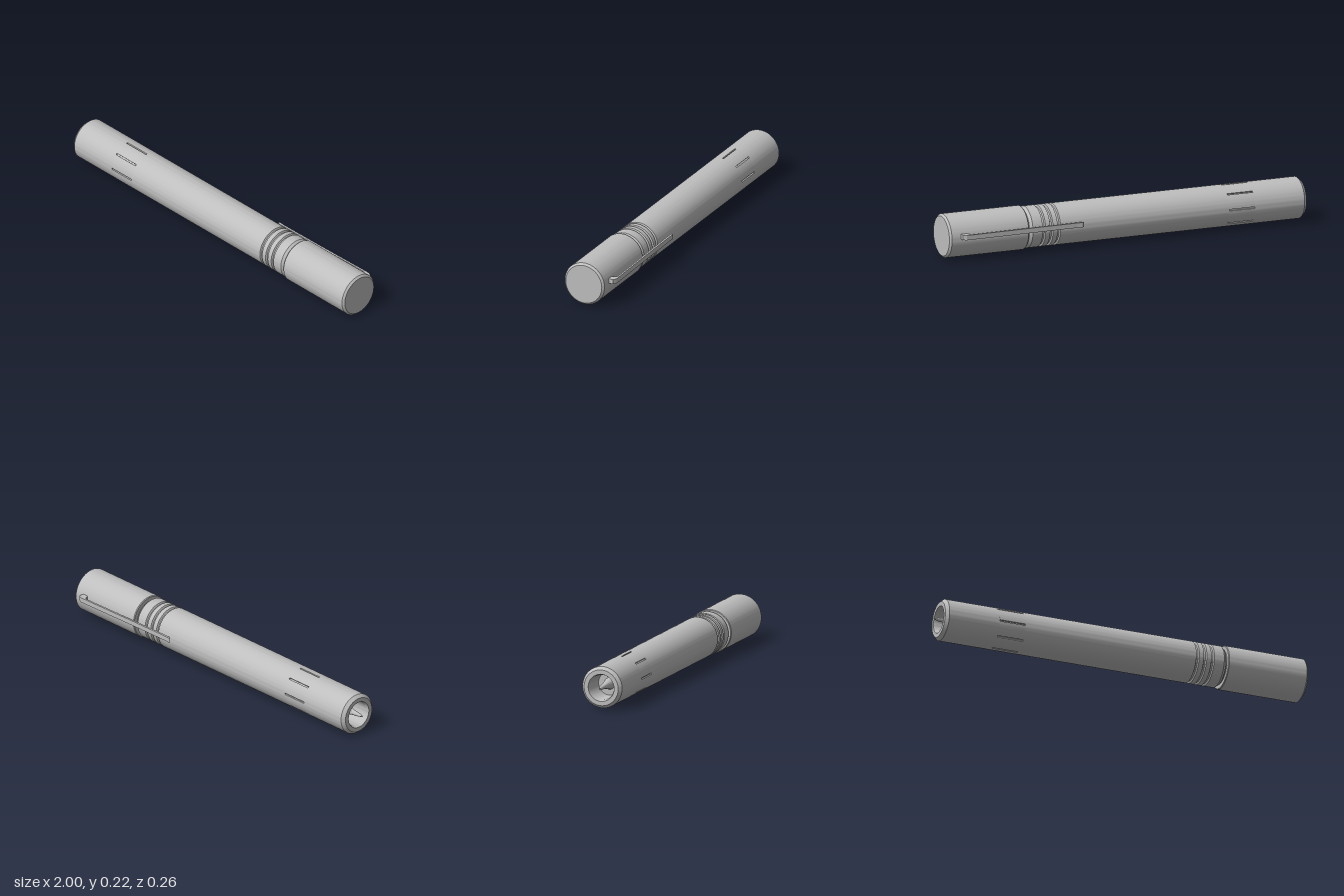
import * as THREE from 'three';
import { toCreasedNormals } from 'three/addons/utils/BufferGeometryUtils.js';

const AXIS_Y = 0.1125, AXIS_Z = 0.018; // centre line of the pen
const R = 0.107;                       // barrel radius
const CAP_R = 0.1125;
const SLOT_START = -0.68, SLOT_END = -0.54;

export function createModel() {
  const pen = new THREE.Group();
  pen.name = 'pen';
  const metal = new THREE.MeshStandardMaterial({ color: 0xbebebe });
  metal.name = 'grey metal';

  function add(name, geometry, parent) {
    const mesh = new THREE.Mesh(geometry, metal);
    mesh.name = name;
    parent.add(mesh);
    return mesh;
  }

  // Turned parts: profile of [x along pen, radius], spun around the x axis
  function turned(profile) {
    const points = profile.map(([x, r]) => new THREE.Vector2(r, x));
    const geometry = new THREE.LatheGeometry(points, 96).rotateZ(-Math.PI / 2);
    return toCreasedNormals(geometry, 0.5);
  }

  const body = new THREE.Group();
  body.name = 'body';
  body.position.set(0, AXIS_Y, AXIS_Z);
  pen.add(body);

  // Front barrel with open bore and chamfered mouth
  add('frontBarrel', turned([
    [-0.85, 0], [-0.85, 0.06], [-0.955, 0.064], [-0.97, 0.07],
    [-0.97, 0.092], [-0.953, R], [SLOT_START, R], [SLOT_START, 0],
  ]), body);

  // Writing point inside the bore
  add('nib', turned([
    [-1, 0], [-0.997, 0.0025], [-0.972, 0.009], [-0.93, 0.014], [-0.85, 0.03],
  ]), body);

  // Barrel section with eight engraved slots
  const ring = new THREE.Shape();
  const half = 0.004 / R, count = 8, steps = 12;
  for (let i = 0; i < count; i++) {
    const a = (i / count) * Math.PI * 2;
    const next = a + (Math.PI * 2) / count;
    const floor = R - 0.008;
    if (i === 0) ring.moveTo(floor * Math.cos(a - half), floor * Math.sin(a - half));
    else ring.lineTo(floor * Math.cos(a - half), floor * Math.sin(a - half));
    ring.lineTo(floor * Math.cos(a + half), floor * Math.sin(a + half));
    for (let j = 0; j <= steps; j++) {
      const t = a + half + (next - a - 2 * half) * (j / steps);
      ring.lineTo(R * Math.cos(t), R * Math.sin(t));
    }
  }
  ring.closePath();
  const slotted = new THREE.ExtrudeGeometry(ring, { depth: SLOT_END - SLOT_START, bevelEnabled: false });
  slotted.rotateY(Math.PI / 2).translate(SLOT_START, 0, 0);
  add('slottedBarrel', toCreasedNormals(slotted, 0.5), body);

  // Rear barrel with three grooves and a tapered shoulder
  const rear = [[SLOT_END, 0], [SLOT_END, R]];
  for (const x of [0.39, 0.431, 0.472]) {
    rear.push([x, R], [x + 0.004, 0.098], [x + 0.012, 0.098], [x + 0.016, R]);
  }
  rear.push([0.542, R], [0.556, 0.096], [0.556, 0.088], [0.58, 0.088]);
  add('rearBarrel', turned(rear), body);

  // Cap with chamfered ends
  add('cap', turned([
    [0.564, 0.08], [0.564, 0.109], [0.568, CAP_R], [0.99, CAP_R], [1, 0.102], [1, 0],
  ]), body);

  // Pocket clip: side outline in (x, distance behind), extruded upwards
  const outline = [
    [0.94, 0.088], [0.94, 0.118], [0.922, 0.128], [0.89, 0.128],
    [0.58, 0.122], [0.31, 0.119], [0.285, 0.121], [0.275, 0.117],
    [0.285, 0.108], [0.31, 0.108], [0.58, 0.112], [0.895, 0.118], [0.91, 0.088],
  ];
  const clipShape = new THREE.Shape(outline.map(([x, d]) => new THREE.Vector2(x, d)));
  const clip = new THREE.ExtrudeGeometry(clipShape, { depth: 0.025, bevelEnabled: false });
  clip.rotateX(-Math.PI / 2).translate(0, 0.116, 0);
  add('clip', clip, pen);

  return pen;
}
